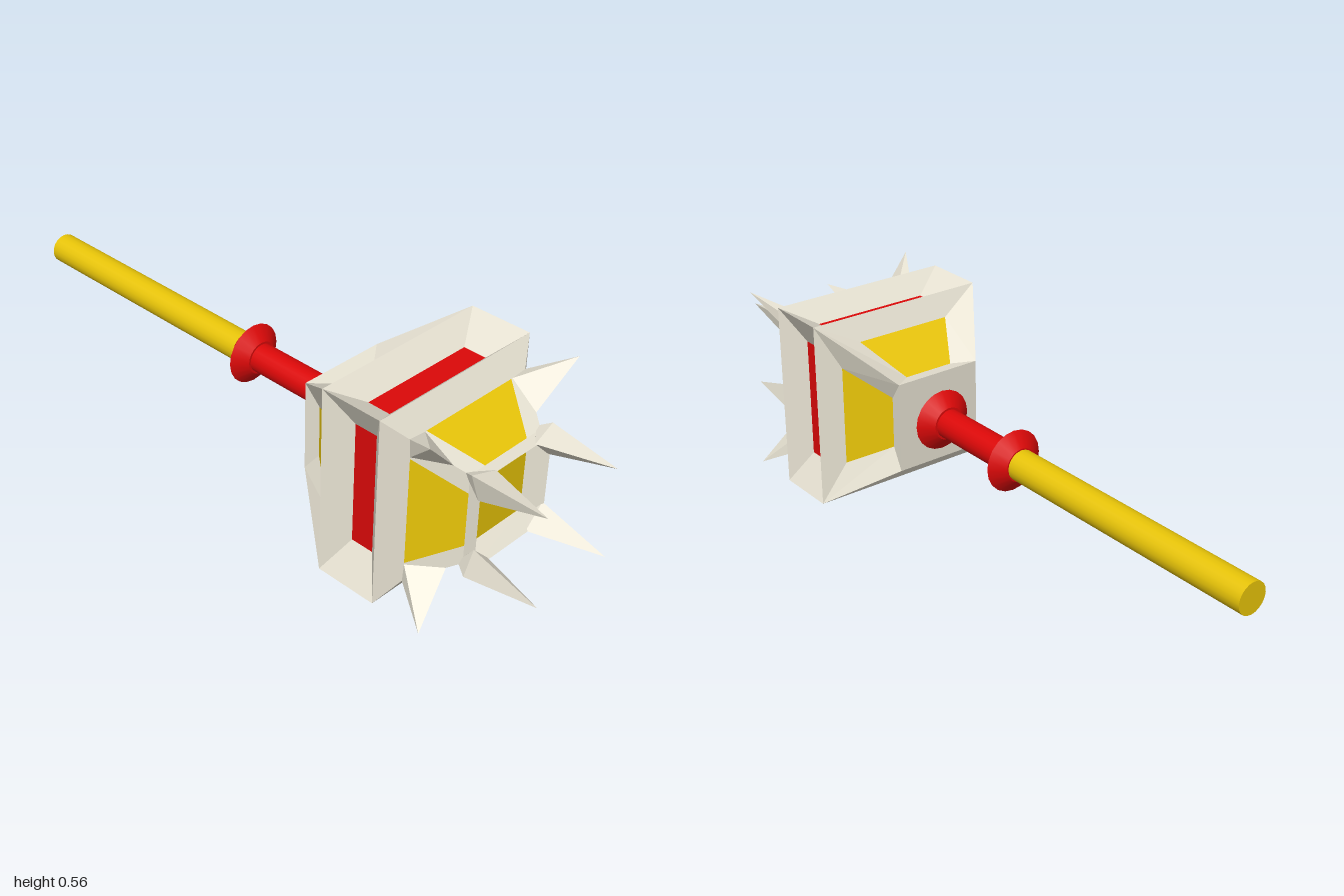
import * as THREE from 'three';
import { ConvexGeometry } from 'three/addons/geometries/ConvexGeometry.js';

export function createModel() {
  const mat = (name, color, flat = true) => {
    const m = new THREE.MeshStandardMaterial({ color });
    m.name = name;
    m.flatShading = flat;
    return m;
  };
  const stone = mat('bone grey', 0xe8e3d3);
  const gold = mat('gold', 0xeac608, false);
  const red = mat('red', 0xdc0808, false);

  const model = new THREE.Group();
  model.name = 'spikedHammer';
  const add = (parent, name, geo, material) => {
    const mesh = new THREE.Mesh(geo, material);
    mesh.name = name;
    parent.add(mesh);
    return mesh;
  };

  // Flat quads, corners counter-clockwise from outside
  const quads = (list) => {
    const pos = [];
    for (const [a, b, c, d] of list) pos.push(...a, ...b, ...c, ...a, ...c, ...d);
    const g = new THREE.BufferGeometry();
    g.setAttribute('position', new THREE.Float32BufferAttribute(pos, 3));
    g.computeVertexNormals();
    return g;
  };
  // Upward-facing strip: front edge then back edge, each [halfWidth, y, z]
  const strip = ([wf, yf, zf], [wb, yb, zb]) =>
    [[-wf, yf, zf], [wf, yf, zf], [wb, yb, zb], [-wb, yb, zb]];
  // Four quads joining an outer quad to an inner one
  const frame = (o, i) => o.map((p, k) => [p, o[(k + 1) % 4], i[(k + 1) % 4], i[k]]);

  const head = new THREE.Group();
  head.name = 'head';
  head.position.y = 0.28;
  model.add(head);

  // Panelled surfaces of one side: [name, outer quad, inner quad, inner material]
  const panels = [
    ['rearPanel', strip([0.28, 0.28, 0.42], [0.135, 0.135, 0.22]),
      strip([0.15, 0.214, 0.385], [0.077, 0.127, 0.265]), gold],
    ['grooveFloor', strip([0.28, 0.28, 0.607], [0.28, 0.28, 0.42]),
      strip([0.18, 0.223, 0.55], [0.18, 0.223, 0.48]), red],
    ['frontSlopePanel', strip([0.135, 0.135, 0.77], [0.215, 0.215, 0.65]),
      strip([0.08, 0.135, 0.77], [0.16, 0.215, 0.65]), gold],
  ];
  const v = (list) => list.map((p) => new THREE.Vector3(...p));

  for (let k = 0; k < 4; k++) {
    const side = new THREE.Group();
    side.name = 'headSide' + (k + 1);
    side.rotation.z = k * Math.PI / 2;
    head.add(side);
    for (const [name, outer, inner, material] of panels) {
      add(side, name + 'Frame', quads(frame(outer, inner)), stone);
      add(side, name, quads([inner]), material);
    }
    // Front shoulder, rim and the wall of the front recess
    add(side, 'shoulderAndRim', quads([
      strip([0.215, 0.215, 0.65], [0.28, 0.28, 0.607]),
      strip([0.135, 0.135, 0.805], [0.135, 0.135, 0.77]),
      [[-0.094, 0.094, 0.763], [0.094, 0.094, 0.763],
        [0.135, 0.135, 0.805], [-0.135, 0.135, 0.805]],
    ]), stone);
    // Corner spike on the front slope
    add(side, 'cornerSpike', new ConvexGeometry(v([
      [0.28, 0.28, 0.762], [0.165, 0.215, 0.65], [0.215, 0.165, 0.65],
      [0.217, 0.217, 0.647], [0.15, 0.15, 0.735],
    ])), stone);
    // Long spike on the front rim
    add(side, 'frontSpike', new ConvexGeometry(v([
      [0.135, 0.135, 1.0], [0.075, 0.135, 0.8], [0.135, 0.075, 0.8],
      [0.155, 0.155, 0.79], [0.11, 0.11, 0.77], [0.137, 0.137, 0.755],
    ])), stone);
  }

  // End faces of the head
  const face = (s, z, dir) => quads([
    [[-s * dir, -s, z], [s * dir, -s, z], [s * dir, s, z], [-s * dir, s, z]]]);
  add(head, 'frontPanel', face(0.094, 0.763, 1), gold);
  add(head, 'rearFace', face(0.135, 0.22, -1), stone);

  // Handle along z
  const handle = new THREE.Group();
  handle.name = 'handle';
  handle.position.set(0.01, 0.283, 0);
  model.add(handle);
  const rod = (name, z0, z1, r0, r1, material) => {
    const g = new THREE.CylinderGeometry(r1, r0, z1 - z0, 20);
    g.rotateX(Math.PI / 2);
    g.translate(0, 0, (z0 + z1) / 2);
    return add(handle, name, g, material);
  };
  rod('shaft', -1, -0.16, 0.045, 0.045, gold);
  rod('grip', -0.16, 0.22, 0.043, 0.043, red);
  // Sharp double-cone collars at both ends of the grip
  for (const [name, z] of [['frontCollar', 0.19], ['rearCollar', -0.131]]) {
    rod(name + 'Back', z - 0.034, z, 0.049, 0.09, red);
    rod(name + 'Front', z, z + 0.034, 0.09, 0.049, red);
  }
  return model;
}
